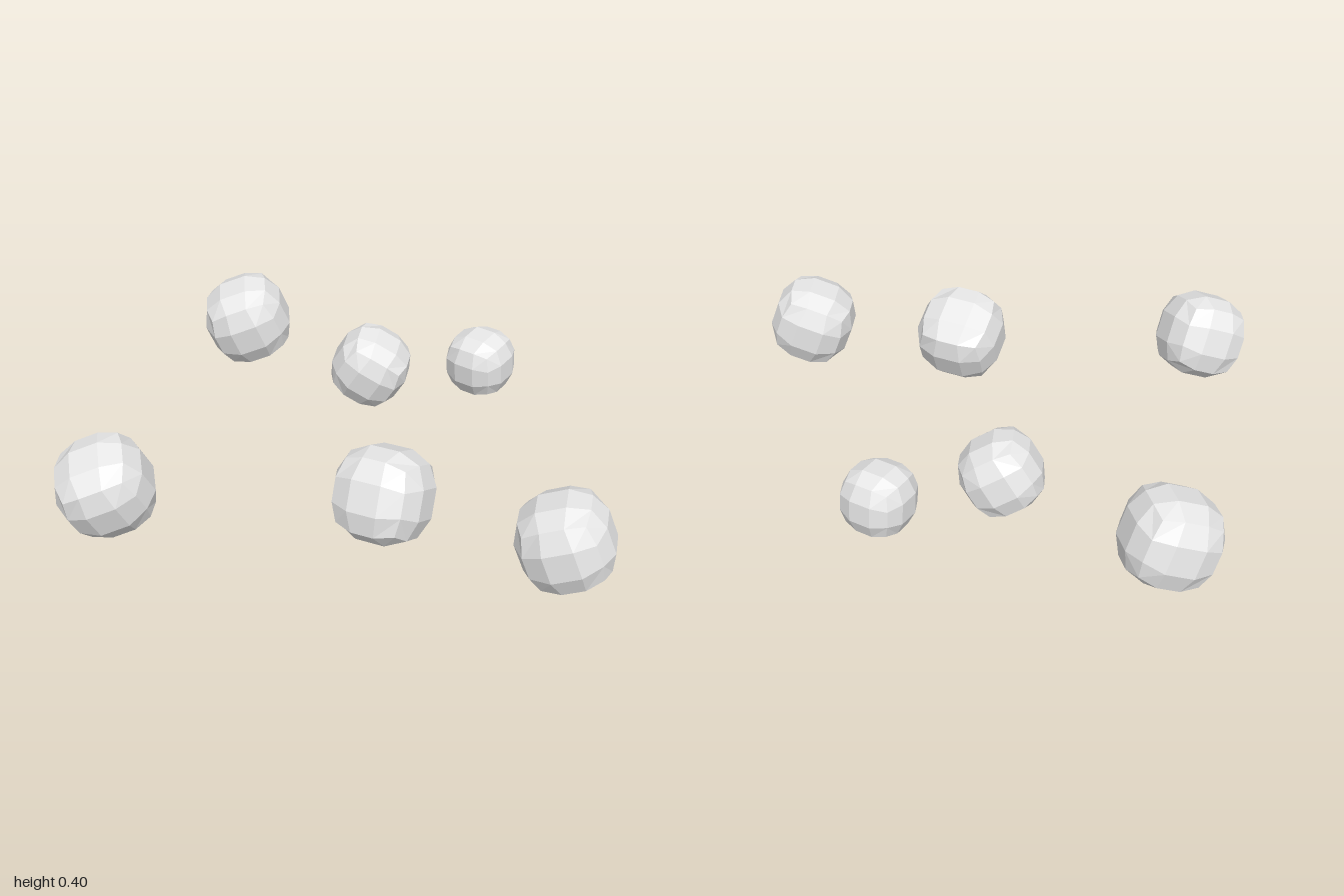
import * as THREE from 'three';

// Centre, radius and two approximate axes (re-squared below) of each boulder
const ROCKS = [
  { name: 'backRightBoulder', at: [-0.66, 0.215, -0.652], r: 0.188, a: [-0.91, -0.345, 0.21], b: [0.157, -0.2, 0.967] },
  { name: 'middleBoulder', at: [-0.053, 0.217, -0.353], r: 0.161, a: [0.515, 0.857, 0.12], b: [0, -0.14, 0.99] },
  { name: 'smallBoulder', at: [0.377, 0.2, -0.51], r: 0.141, a: [0.9, 0, 0.42], b: [-0.42, -0.1, 0.9] },
  { name: 'frontRightBoulder', at: [-0.816, 0.187, 0.647], r: 0.185, a: [-0.9, -0.36, 0.25], b: [0.25, -0.35, 0.9] },
  { name: 'frontMiddleBoulder', at: [0.18, 0.217, 0.535], r: 0.187, a: [-0.96, -0.05, -0.27], b: [0.17, -0.43, -0.88] },
  { name: 'frontLeftBoulder', at: [0.826, 0.188, 0.632], r: 0.18, a: [0.934, 0.358, 0], b: [0, 0, 1] },
];

// Cube of 3 x 3 quads per side, pulled most of the way towards a sphere
function boulderGeometry(radius) {
  const geo = new THREE.BoxGeometry(2, 2, 2, 3, 3, 3);
  const pos = geo.attributes.position;
  const v = new THREE.Vector3();
  for (let i = 0; i < pos.count; i++) {
    v.fromBufferAttribute(pos, i);
    const onSphere = v.clone().normalize();
    v.multiplyScalar(0.9).lerp(onSphere, 0.88).multiplyScalar(radius);
    pos.setXYZ(i, v.x, v.y, v.z);
  }
  geo.computeVertexNormals();
  return geo;
}

// Orthonormal rotation from two nearly perpendicular axes
function orientation(a, b) {
  const x = new THREE.Vector3(...a).normalize();
  const y = new THREE.Vector3(...b);
  y.addScaledVector(x, -x.dot(y)).normalize();
  const z = new THREE.Vector3().crossVectors(x, y);
  return new THREE.Matrix4().makeBasis(x, y, z);
}

export function createModel() {
  const group = new THREE.Group();
  group.name = 'boulders';
  const stone = new THREE.MeshStandardMaterial({ color: 0xe7e7e7, flatShading: true });
  stone.name = 'pale stone';

  for (const { name, at, r, a, b } of ROCKS) {
    const rock = new THREE.Mesh(boulderGeometry(r), stone);
    rock.name = name;
    rock.position.set(...at);
    rock.quaternion.setFromRotationMatrix(orientation(a, b));
    group.add(rock);
  }
  return group;
}
